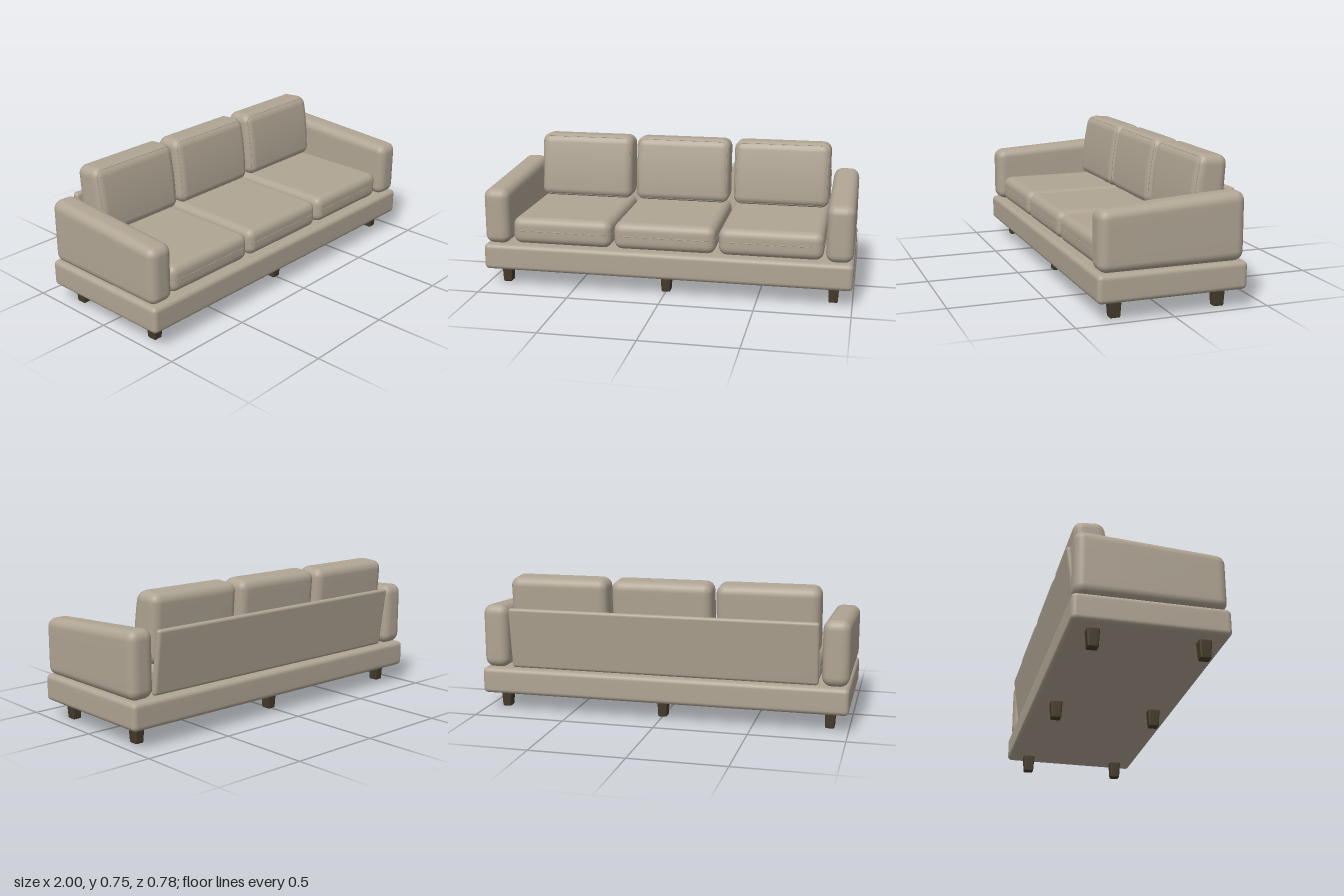
import * as THREE from 'three';
import { mergeVertices } from 'three/addons/utils/BufferGeometryUtils.js';

const fabric = new THREE.MeshStandardMaterial({ color: 0xb0a594 });
fabric.name = 'taupe fabric';
const wood = new THREE.MeshStandardMaterial({ color: 0x443b2b });
wood.name = 'dark wood';

// Rounded box with a subdivided flat area, so that it can be bent by warp(v).
function softBox(w, h, d, r, warp, n = 4) {
  const geo = new THREE.BoxGeometry(2, 2, 2, 3 * n, 3 * n, 3 * n);
  geo.deleteAttribute('normal');
  geo.deleteAttribute('uv');
  const half = [w / 2 - r, h / 2 - r, d / 2 - r];
  const pos = geo.attributes.position;
  const v = new THREE.Vector3(), dir = new THREE.Vector3();
  for (let i = 0; i < pos.count; i++) {
    v.fromBufferAttribute(pos, i);
    for (let a = 0; a < 3; a++) {
      const t = v.getComponent(a) * 3; // flat part lies within -1..1
      const flat = THREE.MathUtils.clamp(t, -1, 1);
      dir.setComponent(a, (t - flat) / 2);
      v.setComponent(a, flat * half[a]);
    }
    v.addScaledVector(dir.normalize(), r);
    if (warp) warp(v);
    pos.setXYZ(i, v.x, v.y, v.z);
  }
  const out = mergeVertices(geo, 1e-5);
  out.computeVertexNormals();
  return out;
}

// Thin piping along a rounded rectangle; place(p) turns a 2D point into 3D.
function piping(w, h, r, place) {
  const x = w / 2, y = h / 2, s = new THREE.Shape();
  s.moveTo(-x + r, -y).lineTo(x - r, -y).absarc(x - r, -y + r, r, -Math.PI / 2, 0);
  s.lineTo(x, y - r).absarc(x - r, y - r, r, 0, Math.PI / 2);
  s.lineTo(-x + r, y).absarc(-x + r, y - r, r, Math.PI / 2, Math.PI);
  s.lineTo(-x, -y + r).absarc(-x + r, -y + r, r, Math.PI, Math.PI * 1.5);
  const curve = new THREE.CatmullRomCurve3(s.getSpacedPoints(80).slice(0, -1).map(place), true);
  return new THREE.TubeGeometry(curve, 120, 0.002, 5, true);
}

export function createModel() {
  const sofa = new THREE.Group();
  sofa.name = 'sofa';
  const add = (name, geo, mat, x = 0, y = 0, z = 0) => {
    const mesh = new THREE.Mesh(geo, mat);
    mesh.name = name;
    mesh.position.set(x, y, z);
    sofa.add(mesh);
  };

  // Platform
  add('base', softBox(2, 0.143, 0.78, 0.025), fabric, 0, 0.1665, 0);

  // Arms rise towards the back
  const arm = softBox(0.142, 0.32, 0.755, 0.048, v => {
    const t = 0.5 - v.z / 0.755;
    v.y = (v.y + 0.16) * (0.303 + 0.047 * t) / 0.32;
  });
  for (const s of [-1, 1]) add(s > 0 ? 'leftArm' : 'rightArm', arm, fabric, s * 0.926, 0.238, 0.0025);

  // Reclined back board
  const board = softBox(1.68, 0.337, 0.036, 0.016, v => { v.z -= 0.046 * (v.y / 0.337 + 0.5); });
  add('backBoard', board, fabric, 0, 0.4065, -0.328);

  // Seat and back cushions
  const seat = softBox(0.552, 0.148, 0.665, 0.045);
  const seatPiping = piping(0.552, 0.665, 0.045, p => new THREE.Vector3(p.x, 0, p.y));
  const lean = v => {
    const t = v.y / 0.363 + 0.5;
    const front = -0.152 - 0.047 * t * t, back = -0.333 - 0.021 * t;
    const k = v.z / 0.18 + 0.5;
    v.z = back + (front - back) * k;
    v.y -= 0.012 * (1 - k) * t;
    return v;
  };
  const backCushion = softBox(0.542, 0.365, 0.18, 0.048, lean);
  const inset = 0.048 * 0.29;
  const backPiping = piping(0.542 - 2 * inset, 0.365 - 2 * inset, 0.035,
    p => lean(new THREE.Vector3(p.x, p.y, 0.09 - inset)));
  for (const x of [-0.567, -0.002, 0.567]) {
    add('seatCushion', seat, fabric, x, 0.312, 0.0225);
    add('seatPiping', seatPiping, fabric, x, 0.315, 0.0225);
    add('backCushion', backCushion, fabric, x, 0.5665, 0);
    add('backPiping', backPiping, fabric, x, 0.5665, 0);
  }

  // Six tapered feet
  const leg = softBox(0.058, 0.1, 0.066, 0.008, v => {
    const k = 0.82 + 0.18 * (v.y / 0.1 + 0.5);
    v.x *= k;
    v.z *= k;
  }, 2);
  for (const x of [-0.9, 0, 0.9])
    for (const z of [0.276, -0.271]) add(z > 0 ? 'frontLeg' : 'backLeg', leg, wood, x, 0.05, z);

  return sofa;
}
